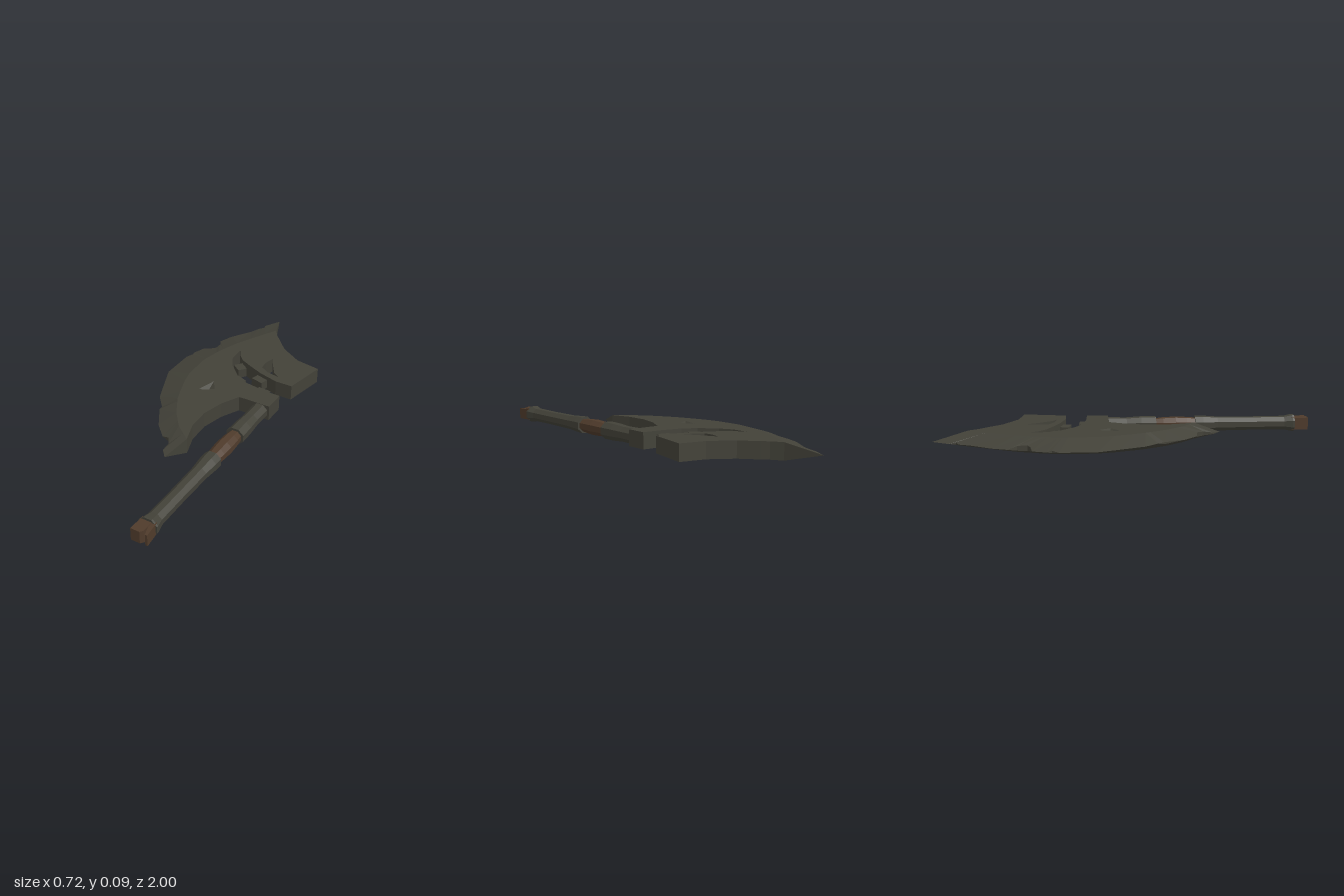
import * as THREE from 'three';

const MID = 0.046, HALF = 0.042, GRIP_X = 0.241;

const iron = new THREE.MeshStandardMaterial({ color: 0x424138 });
iron.name = 'dark iron';
const wood = new THREE.MeshStandardMaterial({ color: 0x4f3b2b });
wood.name = 'brown wood';

// Cutting edge, from the upper horn to the lower horn: [x, z, half thickness in chips]
const edge = [
  [-0.10, -1.0], [-0.15, -0.91], [-0.14, -0.875, 0.006], [-0.165, -0.86], [-0.19, -0.80],
  [-0.26, -0.69], [-0.29, -0.61], [-0.262, -0.565, 0.012], [-0.262, -0.515, 0.014],
  [-0.285, -0.50, 0.01], [-0.33, -0.49], [-0.355, -0.42], [-0.345, -0.395, 0.006],
  [-0.367, -0.36], [-0.367, -0.175], [-0.325, -0.07], [-0.27, 0.06], [-0.21, 0.13],
  [-0.205, 0.16, 0.005], [-0.135, 0.275], [-0.065, 0.345], [-0.025, 0.352, 0.012],
  [0, 0.39, 0.01], [0, 0.44, 0.004], [0.035, 0.48],
];
// Line where the bevel reaches full thickness
const bevelLine = [
  [-0.035, -0.825], [-0.10, -0.70], [-0.16, -0.58], [-0.205, -0.45], [-0.23, -0.33],
  [-0.23, -0.19], [-0.20, -0.06], [-0.15, 0.07], [-0.09, 0.18], [-0.01, 0.28], [0.08, 0.35],
];
// Rear outline: beard, socket, grinning mouth, poll and back of the upper horn
const rear = [
  [0.08, 0.35], [0.045, 0.24], [0.04, 0.12], [0.07, 0], [0.12, -0.10], [0.295, -0.10],
  [0.295, -0.215], [0.195, -0.22], [0.08, -0.24], [0.01, -0.28], [-0.065, -0.355],
  [-0.10, -0.42], [-0.105, -0.515], [-0.075, -0.465], [-0.04, -0.43], [0.03, -0.395],
  [0.11, -0.36], [0.215, -0.33], [0.308, -0.33], [0.355, -0.56], [0.22, -0.585],
  [0.10, -0.66], [0.03, -0.74], [0, -0.77], [-0.035, -0.825],
];
const eye = [
  [0.095, -0.53], [0.135, -0.455], [0.17, -0.40], [0.21, -0.375], [0.135, -0.39],
  [0.085, -0.42], [0.08, -0.47],
];
const dent = [[-0.07, -0.165], [-0.03, -0.10], [-0.06, -0.075], [-0.10, -0.055]];

function bevelAt(z) {
  const zb = -0.825 + (z + 1) / 1.48 * 1.175;
  let i = 0;
  while (i < bevelLine.length - 2 && bevelLine[i + 1][1] < zb) i++;
  const [a, b] = [bevelLine[i], bevelLine[i + 1]];
  const t = (zb - a[1]) / (b[1] - a[1]);
  return [a[0] + (b[0] - a[0]) * t, zb, HALF];
}

// Geometry from triangles, unshared so every facet stays flat
function flatGeometry(positions) {
  const g = new THREE.BufferGeometry();
  g.setAttribute('position', new THREE.Float32BufferAttribute(positions, 3));
  g.computeVertexNormals();
  return g;
}

function bladeGeometry() {
  const out = [];
  const v = ([x, z, h = HALF], s) => new THREE.Vector3(x, MID + s * h, z);
  const tri = (a, b, c) => out.push(...a.toArray(), ...b.toArray(), ...c.toArray());
  // One triangle on both cheeks, wound to face outwards
  const cheek = (a, b, c) => {
    const area = (b[0] - a[0]) * (c[1] - a[1]) - (b[1] - a[1]) * (c[0] - a[0]);
    if (Math.abs(area) < 1e-9) return;
    if (area > 0) [b, c] = [c, b];
    tri(v(a, 1), v(b, 1), v(c, 1));
    tri(v(a, -1), v(c, -1), v(b, -1));
  };
  // Upright walls round a loop
  const walls = (loop, hole) => {
    const p = loop.map(([x, z]) => new THREE.Vector2(x, z));
    const pts = (THREE.ShapeUtils.area(p) > 0) !== hole ? loop : [...loop].reverse();
    pts.forEach((a, i) => {
      const b = pts[(i + 1) % pts.length];
      tri(v(a, -1), v(a, 1), v(b, 1));
      tri(v(a, -1), v(b, 1), v(b, -1));
    });
  };

  const bevel = edge.map(p => bevelAt(p[1]));
  const edgePts = edge.map(([x, z, h = 0]) => [x, z, h]);

  // Flat cheeks with the eye and dent cut out
  const core = [...bevel, ...rear.slice(1, -1)];
  const toV2 = l => l.map(([x, z]) => new THREE.Vector2(x, z));
  const all = [...core, ...eye, ...dent];
  THREE.ShapeUtils.triangulateShape(toV2(core), [toV2(eye), toV2(dent)])
    .forEach(([a, b, c]) => cheek(all[a], all[b], all[c]));

  // Bevel down to the cutting edge
  for (let i = 0; i < edge.length - 1; i++) {
    cheek(edgePts[i], edgePts[i + 1], bevel[i + 1]);
    cheek(edgePts[i], bevel[i + 1], bevel[i]);
  }
  // Shallow pit in each cheek
  dent.forEach((a, i) => cheek(a, dent[(i + 1) % dent.length], [-0.062, -0.10, HALF - 0.015]));

  walls([...edgePts, ...rear], false);
  walls(eye, true);
  return flatGeometry(out);
}

// Eight-sided sleeve along z from [z, radius] stations, with closed ends
function sleeve(name, material, stations) {
  const k = 1 / Math.cos(Math.PI / 8);
  const pts = stations.map(([z, r]) => new THREE.Vector2(r * k, z));
  pts.unshift(new THREE.Vector2(0, stations[0][0]));
  pts.push(new THREE.Vector2(0, stations[stations.length - 1][0]));
  const lathe = new THREE.LatheGeometry(pts, 8, Math.PI / 8).rotateX(Math.PI / 2).scale(1, 0.93, 1);
  const g = lathe.toNonIndexed();
  g.computeVertexNormals();
  const m = new THREE.Mesh(g, material);
  m.name = name;
  m.position.set(GRIP_X, MID, 0);
  return m;
}

// Splintered wooden stub: a plank cross-section extruded to a ragged end
function splinter(points, height) {
  const s = new THREE.Shape(points.map(([x, z]) => new THREE.Vector2(x, -z)));
  const g = new THREE.ExtrudeGeometry(s, { depth: height, bevelEnabled: false });
  g.rotateX(-Math.PI / 2).translate(0, MID - height / 2, 0);
  const m = new THREE.Mesh(g, wood);
  m.name = 'splinteredEnd';
  return m;
}

export function createModel() {
  const axe = new THREE.Group();
  axe.name = 'battleAxe';

  const blade = new THREE.Mesh(bladeGeometry(), iron);
  blade.name = 'blade';
  axe.add(blade);

  // Teeth in the mouth: x, z, turn, width, depth
  [[-0.033, -0.388, -0.65, 0.06, 0.05], [0.117, -0.33, -0.25, 0.07, 0.045],
    [0.025, -0.27, -0.4, 0.06, 0.045], [0.185, -0.235, -0.08, 0.07, 0.045]]
    .forEach(([x, z, turn, w, d]) => {
      const tooth = new THREE.Mesh(new THREE.BoxGeometry(w, 0.05, d), iron);
      tooth.name = 'tooth';
      tooth.position.set(x, MID, z);
      tooth.rotation.y = turn;
      axe.add(tooth);
    });

  // Handle
  axe.add(
    sleeve('upperSleeve', iron, [[-0.12, 0.043], [0, 0.041], [0.08, 0.046], [0.16, 0.047]]),
    sleeve('woodenGrip', wood, [[0.15, 0.033], [0.2, 0.039], [0.27, 0.042], [0.33, 0.039], [0.39, 0.034]]),
    sleeve('lowerSleeve', iron, [[0.375, 0.046], [0.42, 0.045], [0.5, 0.039], [0.7, 0.037],
      [0.87, 0.038], [0.915, 0.048], [0.925, 0.048]]),
    splinter([[0.207, 0.91], [0.262, 0.91], [0.262, 0.985], [0.25, 1], [0.203, 1]], 0.066),
    splinter([[0.262, 0.91], [0.28, 0.91], [0.29, 1], [0.278, 1], [0.262, 0.95]], 0.06),
  );
  return axe;
}
